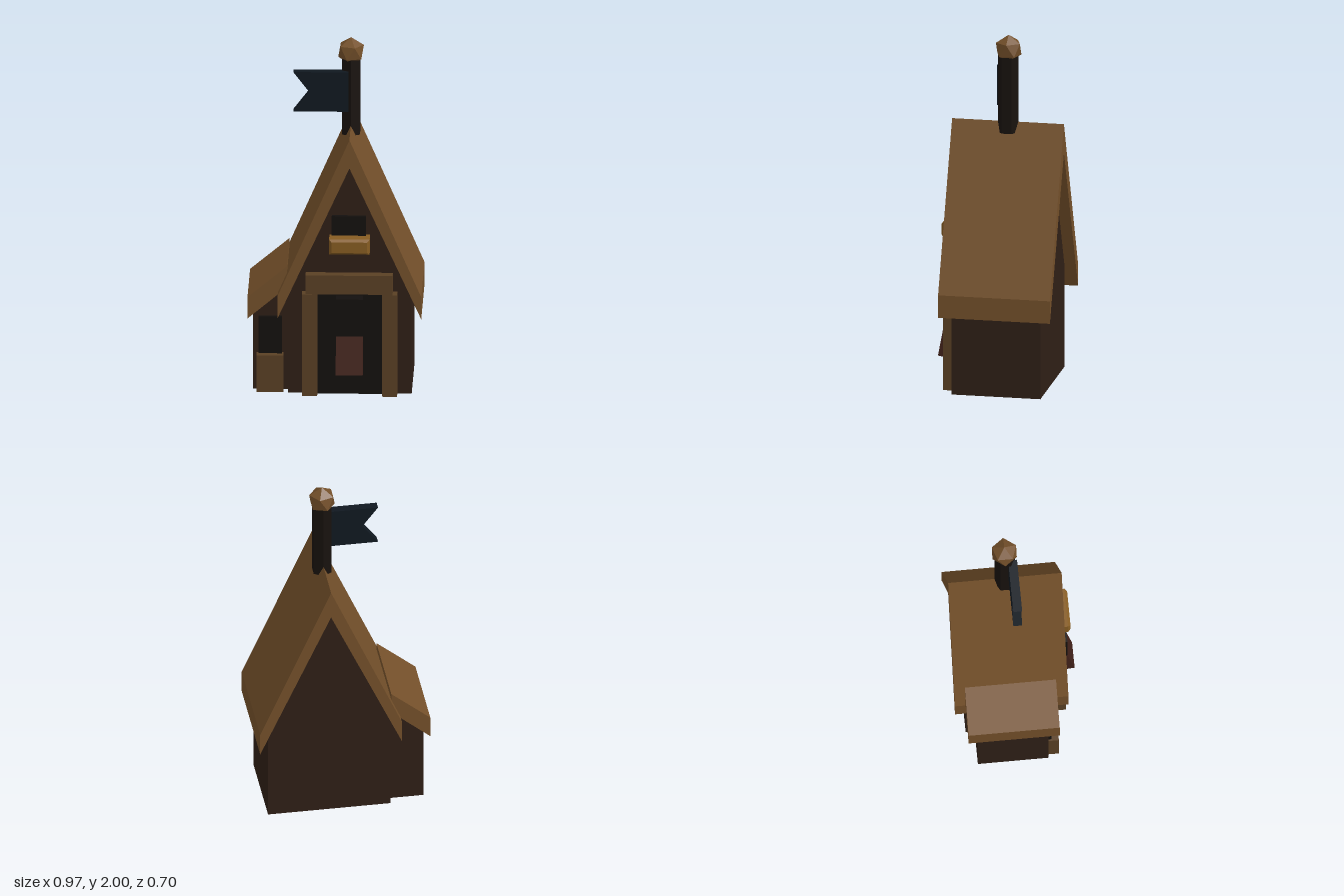
import * as THREE from 'three';

const mat = (color) => new THREE.MeshStandardMaterial({ color, flatShading: true });
const MATS = {
  roof: mat(0x74502a), wall: mat(0x2f1f16), frame: mat(0x5a4024), sill: mat(0x865c22),
  dark: mat(0x13100e), leather: mat(0x42221a), pole: mat(0x18120e), flag: mat(0x101820),
};

export function createModel() {
  const model = new THREE.Group();
  const CX = 0.085; // ridge line of the main house

  const add = (name, geometry, material) => {
    const mesh = new THREE.Mesh(geometry, material);
    mesh.name = name;
    model.add(mesh);
    return mesh;
  };

  // Outline in the xy plane, extruded from z0 to z1
  const prism = (name, points, z0, z1, material) => {
    const shape = new THREE.Shape(points.map(([x, y]) => new THREE.Vector2(x, y)));
    const geo = new THREE.ExtrudeGeometry(shape, { depth: z1 - z0, bevelEnabled: false });
    return add(name, geo.translate(0, 0, z0), material);
  };

  // Box given by its limits on each axis
  const block = (name, [x0, x1], [y0, y1], [z0, z1], material) => {
    const geo = new THREE.BoxGeometry(x1 - x0, y1 - y0, z1 - z0);
    return add(name, geo.translate((x0 + x1) / 2, (y0 + y1) / 2, (z0 + z1) / 2), material);
  };

  // Main house: gabled walls and steep thick roof
  prism('houseWalls', [
    [CX - 0.345, 0], [CX + 0.345, 0], [CX + 0.345, 0.59], [CX, 1.35], [CX - 0.345, 0.59],
  ], -0.285, 0.22, MATS.wall);
  prism('mainRoof', [
    [CX - 0.4, 0.455], [CX, 1.335], [CX + 0.4, 0.455],
    [CX + 0.4, 0.585], [CX, 1.5], [CX - 0.4, 0.585],
  ], -0.35, 0.285, MATS.roof);

  // Doorway: two posts, lintel and dark opening
  for (const side of [-1, 1]) {
    const x = CX + side * 0.2225;
    block(side < 0 ? 'rightDoorPost' : 'leftDoorPost',
      [x - 0.0425, x + 0.0425], [0, 0.595], [0.2, 0.285], MATS.frame);
  }
  block('doorLintel', [-0.16, 0.325], [0.595, 0.705], [0.2, 0.28], MATS.frame);
  block('doorOpening', [-0.1, 0.27], [0, 0.6], [0.2, 0.235], MATS.dark);

  // Hanging in the doorway: upright upper part and tilted lower flap
  block('doorHangingTop', [0.01, 0.16], [0.355, 0.575], [0.22, 0.31], MATS.dark);
  const flap = add('doorHangingFlap',
    new THREE.BoxGeometry(0.15, 0.22, 0.1).translate(0, -0.11, -0.05), MATS.leather);
  flap.position.set(CX, 0.36, 0.31);
  flap.rotation.x = -0.185;

  // Gable window with a chamfered sill
  block('gableWindow', [-0.015, 0.175], [0.86, 1.04], [0.2, 0.24], MATS.dark);
  const sillShape = new THREE.Shape([
    [-0.1, -0.031], [0.1, -0.031], [0.1, 0.031], [-0.1, 0.031],
  ].map(([x, y]) => new THREE.Vector2(x, y)));
  const sill = add('windowSill', new THREE.ExtrudeGeometry(sillShape, {
    depth: 0.1, bevelSegments: 1, bevelSize: 0.013, bevelThickness: 0.015,
  }), MATS.sill);
  sill.position.set(CX, 0.883, 0.21);

  // Lean-to at the side
  prism('leanToWalls', [
    [-0.455, 0], [-0.25, 0], [-0.25, 0.65], [-0.455, 0.48],
  ], -0.235, 0.16, MATS.wall);
  prism('leanToRoof', [
    [-0.485, 0.43], [-0.265, 0.615], [-0.265, 0.738], [-0.485, 0.555],
  ], -0.29, 0.22, MATS.roof);
  block('leanToWindow', [-0.425, -0.295], [0.2, 0.43], [0.14, 0.18], MATS.dark);
  block('leanToPanel', [-0.435, -0.285], [0, 0.215], [0.14, 0.22], MATS.frame);

  // Flagpole on the ridge, with a faceted knob
  const pole = add('flagpole', new THREE.CylinderGeometry(0.058, 0.058, 0.44, 6), MATS.pole);
  pole.position.set(CX, 1.66, -0.033);
  const knobGeo = new THREE.IcosahedronGeometry(0.08, 0);
  knobGeo.rotateZ(-Math.atan2(2, 1 + Math.sqrt(5))); // one corner straight up
  const knob = add('poleKnob', knobGeo, MATS.roof);
  knob.position.set(CX, 1.92, -0.036);

  // Swallow-tailed flag
  prism('flag', [
    [0.072, 1.585], [0.072, 1.815], [-0.235, 1.815], [-0.147, 1.7], [-0.235, 1.585],
  ], -0.016, 0.034, MATS.flag);

  return model;
}
